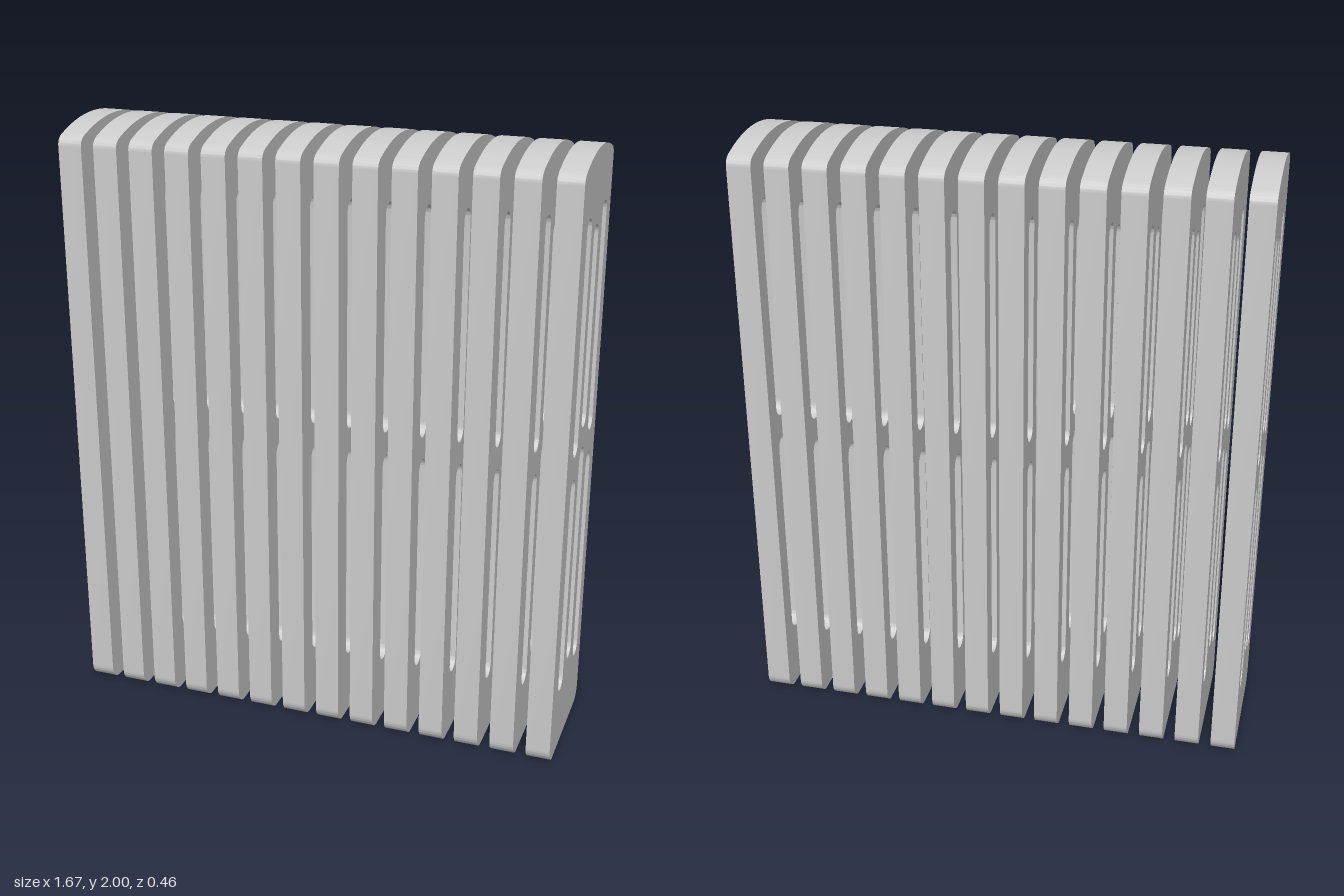
import * as THREE from 'three';
import { toCreasedNormals } from 'three/addons/utils/BufferGeometryUtils.js';

const FINS = 14, PITCH = 0.1224, THICK = 0.08, HALF = 0.23;

// Upright slot with round ends, in (z, y)
function slot(z, bottom, top, r = 0.037) {
  const p = new THREE.Path();
  p.absarc(z, top - r, r, 0, Math.PI, false);
  p.absarc(z, bottom + r, r, Math.PI, Math.PI * 2, false);
  p.closePath();
  return p;
}

// Side outline of one section: rounded foot, gently arched top
function sectionShape() {
  const r = 0.05, shoulder = 0.19, arcR = 0.58, cy = 2 - arcR;
  const a = Math.asin(shoulder / arcR);
  const s = new THREE.Shape();
  s.moveTo(-HALF + r, 0);
  s.lineTo(HALF - r, 0);
  s.absarc(HALF - r, r, r, -Math.PI / 2, 0, false);
  s.lineTo(HALF, 1.93);
  s.quadraticCurveTo(HALF, 1.958, shoulder, cy + arcR * Math.cos(a));
  s.absarc(0, cy, arcR, Math.PI / 2 - a, Math.PI / 2 + a, false);
  s.quadraticCurveTo(-HALF, 1.958, -HALF, 1.93);
  s.lineTo(-HALF, r);
  s.absarc(-HALF + r, r, r, Math.PI, Math.PI * 1.5, false);

  // Two tiers of three slots
  for (const z of [0.111, -0.132]) s.holes.push(slot(z, 0.22, 0.975), slot(z, 1.055, 1.81));
  s.holes.push(slot(-0.007, 0.28, 1.04), slot(-0.007, 1.11, 1.765));
  return s;
}

export function createModel() {
  const model = new THREE.Group();
  model.name = 'radiator';
  const material = new THREE.MeshStandardMaterial({ color: 0xcccccc });

  let geometry = new THREE.ExtrudeGeometry(sectionShape(), { depth: THICK, bevelEnabled: false, curveSegments: 14 });
  geometry.translate(0, 0, -THICK / 2);
  geometry.rotateY(-Math.PI / 2);
  geometry = toCreasedNormals(geometry, 0.6);

  // Row of identical free-standing sections
  for (let i = 0; i < FINS; i++) {
    const fin = new THREE.Mesh(geometry, material);
    fin.name = `radiatorSection${i + 1}`;
    fin.position.x = (i - (FINS - 1) / 2) * PITCH;
    model.add(fin);
  }
  return model;
}
